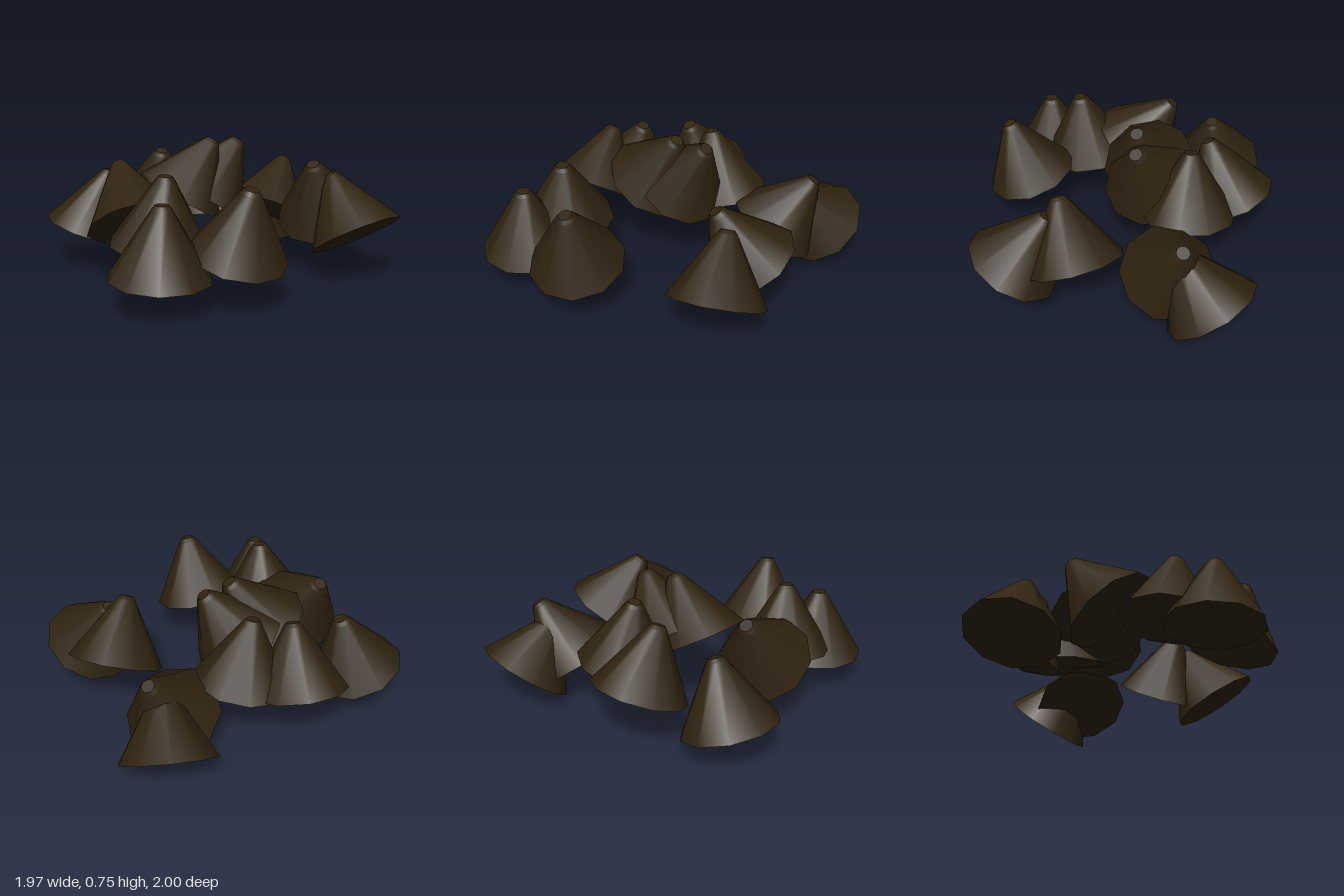
import * as THREE from 'three';

const SIDES = 10;
const BASE_RADIUS = 0.265;
const NECK_RADIUS = 0.052;
const TIP_RADIUS = 0.036;
const HEIGHT = 0.37;
const TIP_HEIGHT = 0.02;

// Each cone: centre of its base, centre of its tip, and half-side turn (0 or 1)
const CONES = [
  [[-0.74, 0.20, -0.195], [-0.62, 0.55, -0.21], 1],
  [[-0.345, 0.30, -0.485], [-0.32, 0.64, -0.345], 0],
  [[-0.05, 0.325, -0.39], [-0.11, 0.69, -0.355], 0],
  [[-0.22, 0.43, -0.025], [-0.03, 0.74, -0.06], 0],
  [[-0.075, 0.42, -0.125], [0.12, 0.73, -0.15], 0],
  [[0.33, 0.23, -0.495], [0.46, 0.54, -0.645], 0],
  [[0.385, 0.175, -0.79], [0.385, 0.465, -0.56], 0],
  [[0.61, 0.305, -0.095], [0.52, 0.62, 0.075], 1],
  [[0.74, 0.245, 0.22], [0.62, 0.56, 0.07], 0],
  [[-0.47, 0.335, 0.23], [-0.56, 0.63, 0.03], 1],
  [[-0.335, 0.275, 0.485], [-0.30, 0.64, 0.515], 0],
  [[-0.335, 0.175, 0.735], [-0.32, 0.545, 0.75], 0],
  [[0.05, 0.255, 0.635], [0.115, 0.61, 0.72], 1],
];

export function createModel() {
  const model = new THREE.Group();
  model.name = 'coneCluster';
  const brown = new THREE.MeshStandardMaterial({ color: 0x302310 });
  brown.name = 'darkBrown';

  // Body with its base standing on the local origin
  const bodyHeight = HEIGHT - TIP_HEIGHT;
  const bodyGeometry = new THREE.CylinderGeometry(NECK_RADIUS, BASE_RADIUS, bodyHeight, SIDES);
  bodyGeometry.translate(0, bodyHeight / 2, 0);

  // Small bevelled tip on top of the body
  const tipGeometry = new THREE.CylinderGeometry(TIP_RADIUS, NECK_RADIUS, TIP_HEIGHT, SIDES);
  tipGeometry.translate(0, HEIGHT - TIP_HEIGHT / 2, 0);

  const up = new THREE.Vector3(0, 1, 0);
  CONES.forEach(([base, tip, turn], i) => {
    const cone = new THREE.Group();
    cone.name = `cone${i + 1}`;
    const body = new THREE.Mesh(bodyGeometry, brown);
    body.name = 'coneBody';
    const cap = new THREE.Mesh(tipGeometry, brown);
    cap.name = 'coneTip';
    cone.add(body, cap);

    // Lean the cone from its base towards its tip
    const start = new THREE.Vector3(...base);
    const axis = new THREE.Vector3(...tip).sub(start).normalize();
    cone.position.copy(start);
    cone.quaternion.setFromUnitVectors(up, axis);
    cone.rotateY(turn * Math.PI / SIDES);
    model.add(cone);
  });

  return model;
}
